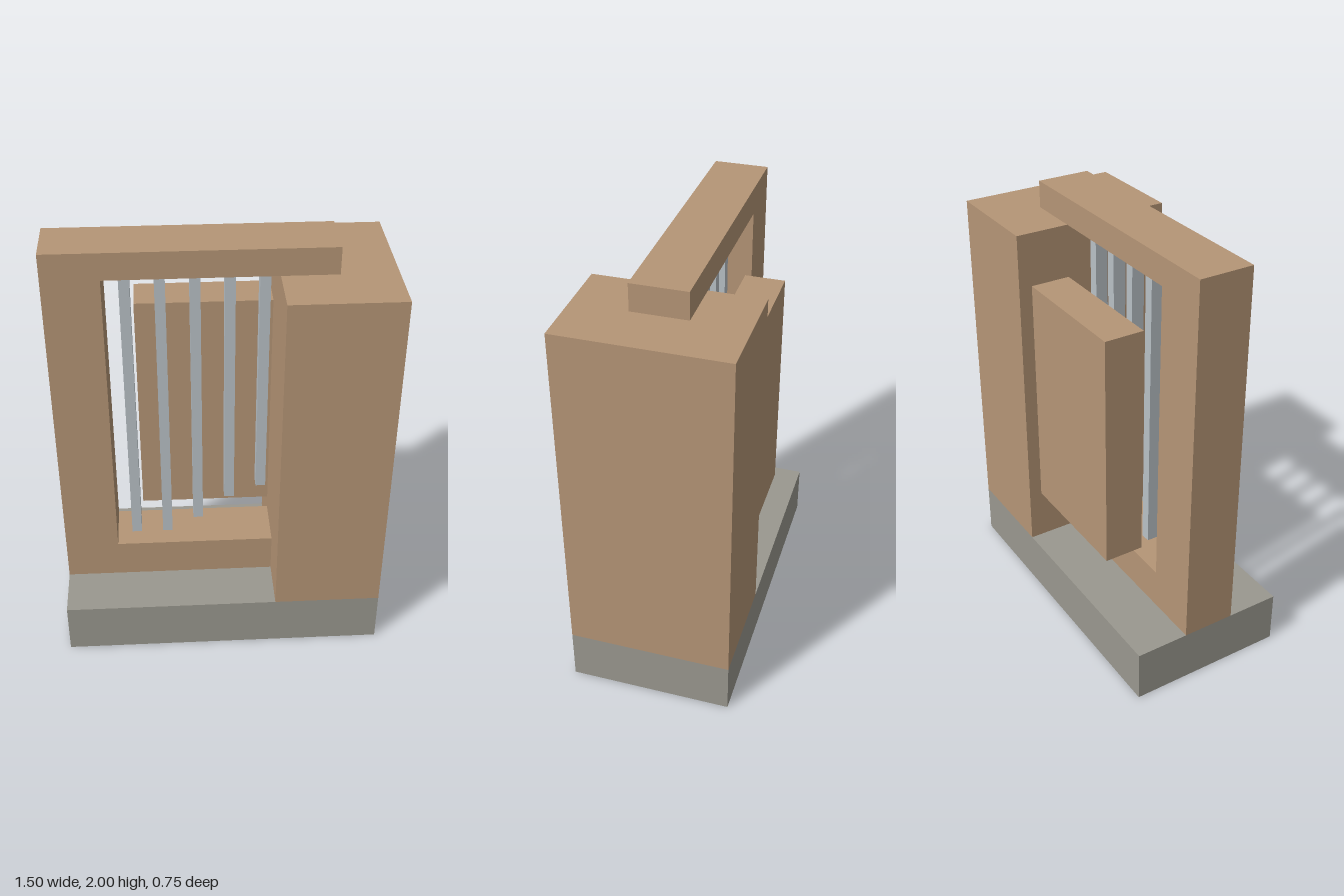
import * as THREE from 'three';

const material = (name, color) => {
  const m = new THREE.MeshStandardMaterial({ color });
  m.name = name;
  return m;
};

export function createModel() {
  const model = new THREE.Group();
  model.name = 'chimeStand';
  const wood = material('wood', 0xb59576);
  const stone = material('stone', 0x9a988f);
  const metal = material('metal', 0xb9c1c6);

  // Box given by its extents on each axis
  const box = (name, mat, [x0, x1], [y0, y1], [z0, z1]) => {
    const mesh = new THREE.Mesh(new THREE.BoxGeometry(x1 - x0, y1 - y0, z1 - z0), mat);
    mesh.position.set((x0 + x1) / 2, (y0 + y1) / 2, (z0 + z1) / 2);
    mesh.name = name;
    model.add(mesh);
  };

  box('base', stone, [-0.75, 0.75], [0, 0.25], [-0.375, 0.375]);
  box('pillar', wood, [0.25, 0.75], [0.25, 1.875], [-0.375, 0.375]);
  box('backPanel', wood, [-0.375, 0.25], [0.5, 1.625], [-0.3125, -0.125]);

  // C-shaped frame: sill, post and a top beam lying over the pillar
  const outline = [
    [-0.75, 0.25], [0.25, 0.25], [0.25, 0.4375], [-0.5, 0.4375],
    [-0.5, 1.875], [0.5, 1.875], [0.5, 2], [-0.75, 2],
  ].map(([x, y]) => new THREE.Vector2(x, y));
  const frame = new THREE.Mesh(
    new THREE.ExtrudeGeometry(new THREE.Shape(outline), { depth: 0.25, bevelEnabled: false }),
    wood,
  );
  frame.position.z = -0.125;
  frame.name = 'frame';
  model.add(frame);

  // Hanging bars, shorter towards the pillar
  [0.4375, 0.4375, 0.516, 0.64, 0.7].forEach((bottom, i) => {
    const x = -0.407 + i * 0.151;
    box(`chime${i + 1}`, metal, [x - 0.0235, x + 0.0235], [bottom, 1.875], [-0.026, 0.034]);
  });

  return model;
}
